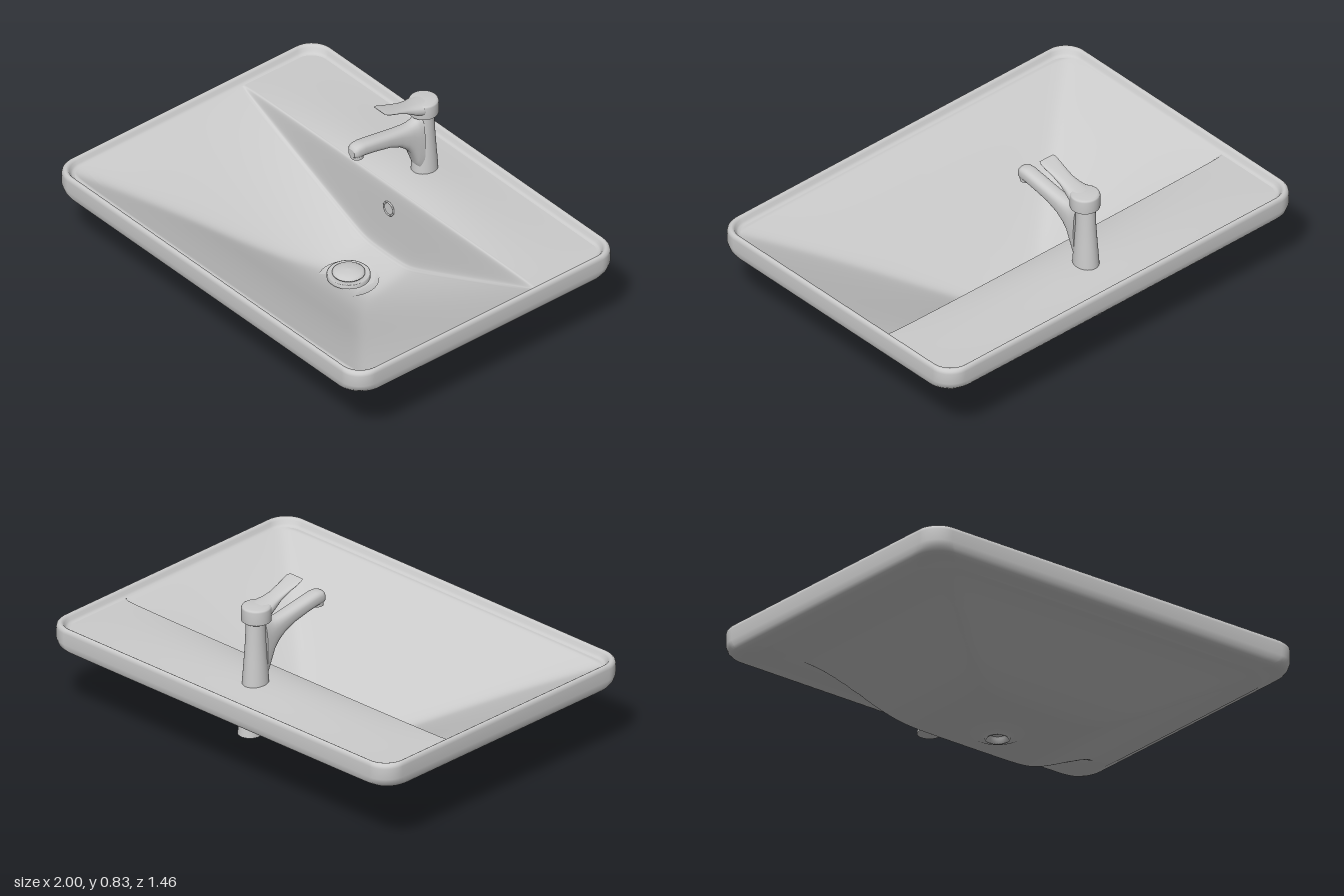
import * as THREE from 'three';

const grey = new THREE.MeshStandardMaterial({ color: 0xcccccc });
const greyDouble = new THREE.MeshStandardMaterial({ color: 0xcccccc, side: THREE.DoubleSide });

const W = 1, D = 0.73;                  // half width, half depth
const DECK = 0.407;                     // tap deck level
const INNER = [0.045, 0.083], LOWER = [0.07, 0.16]; // inset and corner radius of the fields
const DRAIN_Z = -0.07;

function part(name, geometry, material = grey) {
  const mesh = new THREE.Mesh(geometry, material);
  mesh.name = name;
  return mesh;
}

function indexed(positions, index) {
  const g = new THREE.BufferGeometry();
  g.setAttribute('position', new THREE.Float32BufferAttribute(positions, 3));
  g.setIndex(index);
  g.computeVertexNormals();
  return g;
}

// Skin over closed loops of points, with optional end caps
function loft(rings, caps = true) {
  const n = rings[0].length, pos = [], idx = [];
  rings.forEach(r => r.forEach(p => pos.push(...p)));
  for (let i = 0; i < rings.length - 1; i++) {
    for (let j = 0; j < n; j++) {
      const a = i * n + j, b = i * n + (j + 1) % n;
      idx.push(a, b, b + n, a, b + n, a + n);
    }
  }
  if (caps) {
    [rings[0], rings[rings.length - 1]].forEach((ring, end) => {
      const base = pos.length / 3;
      ring.forEach(p => pos.push(...p));
      for (let j = 1; j < n - 1; j++) {
        if (end) idx.push(base, base + j, base + j + 1);
        else idx.push(base, base + j + 1, base + j);
      }
    });
  }
  return indexed(pos, idx);
}

// Rounded rectangle loop, inset from the outer edge; long sides are subdivided
function rimLoop(inset, r, height) {
  const w = W - inset - r, d = D - inset - r, loop = [];
  for (let q = 0; q < 4; q++) {
    const sx = q === 0 || q === 3 ? 1 : -1, sz = q < 2 ? -1 : 1;
    for (let k = 0; k <= 12; k++) {
      const a = (q + k / 12) * Math.PI / 2;
      loop.push([sx * w + r * Math.cos(a), 0, sz * d - r * Math.sin(a)]);
    }
    const [x, , z] = loop[loop.length - 1];
    const [ex, ez] = [[-w, z], [x, d], [w, z], [x, -d]][q];
    for (let k = 1; k < 30; k++) loop.push([x + (ex - x) * k / 30, 0, z + (ez - z) * k / 30]);
  }
  return loop.map(([x, , z]) => [x, height(x, z), z]);
}

// Height field filling a rounded rectangle
function field([inset, r], height, up) {
  const d = D - inset, cols = 120, rows = [];
  for (let k = 0; k < 12; k++) rows.push(-d + r * (1 - Math.cos(k / 12 * Math.PI / 2)));
  for (let z = -d + r; z < d - r - 0.001; z += z > -0.325 && z < -0.26 ? 0.0015 : 0.015) rows.push(z);
  for (let k = 0; k <= 12; k++) rows.push(d - r + r * Math.sin(k / 12 * Math.PI / 2));
  const pos = [], idx = [];
  rows.forEach((z, i) => {
    const c = Math.max(0, Math.abs(z) - (d - r));
    const half = W - inset - r + Math.sqrt(Math.max(0, r * r - c * c));
    for (let j = 0; j <= cols; j++) {
      const x = (j / cols * 2 - 1) * half;
      pos.push(x, height(x, z), z);
      if (i && j) {
        const p = i * (cols + 1) + j, q = p - cols - 1;
        if (up) idx.push(q - 1, p - 1, p, q - 1, p, q);
        else idx.push(q - 1, p, p - 1, q - 1, q, p);
      }
    }
  });
  return indexed(pos, idx);
}

const smoothMax = (a, b, k) => (a + b + Math.sqrt((a - b) ** 2 + k * k)) / 2;

function profile(points) {
  const curve = new THREE.CubicInterpolant(points.map(p => p[0]), points.map(p => p[1]), 1);
  return t => curve.evaluate(t)[0];
}

// Inside: gentle side and front slopes, and a steep filleted wall up to the deck
const frontSlope = profile([[-0.73, 0.052], [-0.25, 0.052], [-0.15, 0.052], [-0.07, 0.056], [0.03, 0.088],
  [0.2, 0.165], [0.39, 0.262], [0.62, 0.38], [0.73, 0.437]]);
const wall = profile([[-0.73, 1], [-0.312, 1], [-0.304, 0.988], [-0.3, 0.945], [-0.297, 0.82], [-0.294, 0.52],
  [-0.291, 0.22], [-0.288, 0.1], [-0.28, 0.03], [-0.265, 0], [0.73, 0]]);
function insideHeight(x, z) {
  const side = 0.057 + 0.433 * (Math.abs(x) - 0.15);
  const floor = Math.min(DECK, smoothMax(side, frontSlope(z), 0.02));
  return floor + (DECK - floor) * wall(z);
}

// Underside: the larger of a sideways and a lengthways profile
const underX = profile([[0, 0.02], [0.2, 0.024], [0.3, 0.036], [0.4, 0.067], [0.6, 0.163],
  [0.8, 0.258], [0.9, 0.288], [0.94, 0.298], [1, 0.308]]);
const underZ = profile([[-0.73, 0.335], [-0.68, 0.323], [-0.6, 0.304], [-0.5, 0.285], [-0.42, 0.253],
  [-0.36, 0.19], [-0.32, 0.105], [-0.29, 0.05], [-0.25, 0.026], [-0.1, 0.02], [0.1, 0.02],
  [0.2, 0.034], [0.3, 0.08], [0.45, 0.175], [0.6, 0.268], [0.66, 0.294], [0.73, 0.308]]);
const underHeight = (x, z) => smoothMax(underX(Math.abs(x)), underZ(z), 0.015);

// Rounded sections [z, top, bottom, half width] for the spout and lever
function sectioned(rows) {
  return loft(rows.map(([z, top, bottom, w]) => Array.from({ length: 28 }, (_, k) => {
    const a = k / 28 * Math.PI * 2, c = Math.cos(a), s = Math.sin(a);
    const soft = v => Math.sign(v) * Math.abs(v) ** 0.75;
    return [w * soft(c), (top + bottom) / 2 + (top - bottom) / 2 * soft(s), z];
  })));
}

function turned(points) {
  return new THREE.LatheGeometry(points.map(p => new THREE.Vector2(...p)), 48);
}

function createBasin() {
  const g = new THREE.Group();
  g.name = 'basin';
  // Rim rows: inset, corner radius, height
  const rows = [[0.042, 0.145, 0.311], [0.025, 0.13, 0.318], [0.012, 0.12, 0.328], [0.004, 0.11, 0.344], [0, 0.1, 0.37],
    [0, 0.1, 0.42], [0.002, 0.1, 0.432], [0.008, 0.1, 0.44], [0.014, 0.098, 0.441],
    [0.02, 0.096, 0.438], [0.025, 0.094, 0.43], [0.03, 0.092, 0.418], [0.036, 0.088, 0.41]];
  g.add(part('rim', loft([
    rimLoop(...LOWER, underHeight),
    ...rows.map(([inset, r, y]) => rimLoop(inset, r, (x, z) => Math.max(y, underHeight(x, z)))),
    rimLoop(...INNER, insideHeight),
  ], false)));
  g.add(part('bowlInside', field(INNER, insideHeight, true)));
  g.add(part('bowlUnderside', field([LOWER[0] - 0.003, LOWER[1]], underHeight, false)));

  // Overflow opening in the back wall
  const overflow = new THREE.Group();
  overflow.name = 'overflow';
  overflow.add(part('overflowRing', new THREE.TorusGeometry(0.031, 0.004, 10, 36)));
  overflow.add(part('overflowHole', new THREE.CircleGeometry(0.03, 36)));
  overflow.position.set(0, 0.295, -0.292);
  overflow.rotation.x = -0.03;
  g.add(overflow);
  return g;
}

function createDrain() {
  const g = new THREE.Group();
  g.name = 'drain';
  g.position.z = DRAIN_Z;
  g.add(part('drainRing', turned([[0.093, 0.045], [0.093, 0.063], [0.088, 0.065], [0.07, 0.062], [0.05, 0.055]]), greyDouble));
  g.add(part('plug', turned([[0.03, 0.05], [0.062, 0.062], [0.07, 0.066], [0.07, 0.071], [0.06, 0.079], [0.03, 0.085], [0, 0.087]]), greyDouble));
  // Outlet boss under the bowl
  g.add(part('outletBoss', turned([[0.03, 0.034], [0.04, 0.02], [0.045, 0], [0.054, 0], [0.057, 0.01],
    [0.08, 0.016], [0.105, 0.022], [0.13, 0.034]]), greyDouble));
  return g;
}

function createTap() {
  const g = new THREE.Group();
  g.name = 'tap';
  const body = part('tapBody', turned([[0.062, 0.39], [0.06, 0.44], [0.053, 0.53], [0.047, 0.62], [0.043, 0.73]]));
  body.position.z = -0.491;
  body.scale.x = 0.9;
  g.add(body);

  const cap = part('tapCap', turned([[0, 0.711], [0.06, 0.711], [0.065, 0.715], [0.065, 0.772], [0.062, 0.779], [0.054, 0.784], [0, 0.785]]));
  cap.position.z = -0.486;
  g.add(cap);

  g.add(part('spout', sectioned([[-0.46, 0.71, 0.43, 0.044], [-0.443, 0.708, 0.44, 0.043], [-0.43, 0.698, 0.475, 0.042],
    [-0.405, 0.69, 0.54, 0.04], [-0.38, 0.69, 0.57, 0.038], [-0.34, 0.693, 0.602, 0.036], [-0.28, 0.701, 0.628, 0.035],
    [-0.2, 0.713, 0.646, 0.035], [-0.14, 0.722, 0.656, 0.035], [-0.11, 0.721, 0.658, 0.034], [-0.095, 0.715, 0.66, 0.03],
    [-0.086, 0.7, 0.664, 0.02]])));
  const outlet = part('spoutOutlet', new THREE.CylinderGeometry(0.03, 0.028, 0.045, 32));
  outlet.position.set(0, 0.673, -0.116);
  g.add(outlet);

  g.add(part('lever', sectioned([[-0.48, 0.785, 0.735, 0.06], [-0.44, 0.788, 0.73, 0.054], [-0.41, 0.792, 0.742, 0.045],
    [-0.37, 0.799, 0.766, 0.038], [-0.32, 0.813, 0.793, 0.039], [-0.28, 0.823, 0.81, 0.043],
    [-0.255, 0.83, 0.823, 0.044], [-0.242, 0.832, 0.829, 0.038]])));

  // Leaning shank passing below the deck, cut level at the bottom
  g.add(part('shank', loft([[0.19, -0.525, 0.053], [0.4, -0.503, 0.05]].map(([y, z, r]) =>
    Array.from({ length: 40 }, (_, k) => {
      const a = k / 20 * Math.PI;
      return [r * Math.cos(a), y, z - r * Math.sin(a)];
    })))));
  return g;
}

export function createModel() {
  const model = new THREE.Group();
  model.name = 'washbasin';
  model.add(createBasin(), createDrain(), createTap());
  return model;
}
